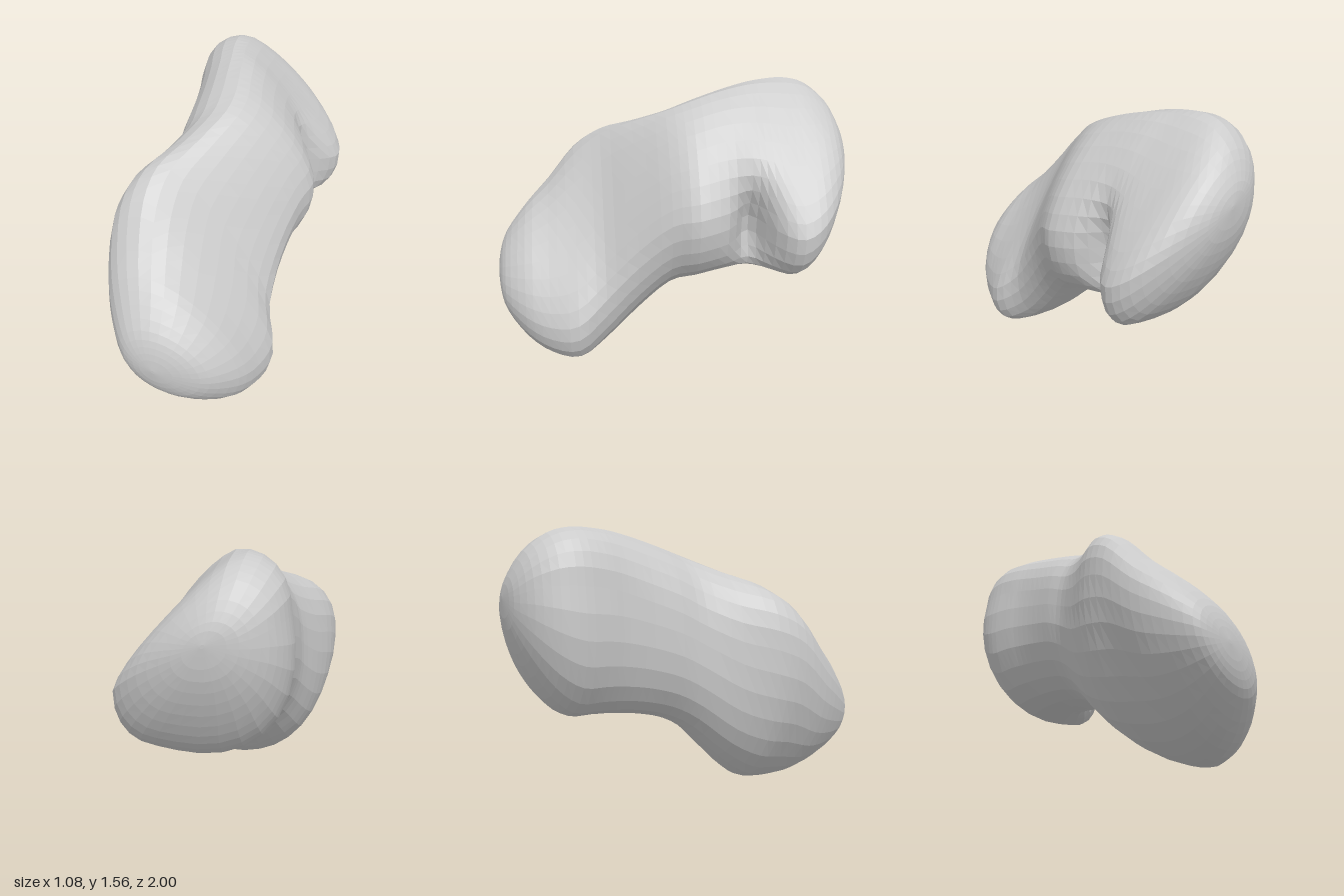
import * as THREE from 'three';

// Cross-sections front to back: z, xMin, xMax, yMin, yMax, tilt, hollow of inner side, swell of outer side
const STATIONS = [
  [1.0, -0.21, -0.19, 0.41, 0.43, -0.3, 0, 0],
  [0.985, -0.31, -0.05, 0.30, 0.53, -0.3, 0, 0],
  [0.94, -0.39, 0.08, 0.20, 0.64, -0.35, 0.02, 0.01],
  [0.82, -0.47, 0.21, 0.08, 0.79, -0.45, 0.04, 0.02],
  [0.68, -0.525, 0.29, 0.01, 0.93, -0.55, 0.08, 0.05],
  [0.52, -0.545, 0.34, 0.0, 1.12, -0.6, 0.13, 0.08],
  [0.36, -0.52, 0.285, 0.075, 1.24, -0.45, 0.13, 0.1],
  [0.18, -0.44, 0.31, 0.24, 1.32, -0.22, 0.12, 0.12],
  [0.0, -0.365, 0.38, 0.42, 1.40, -0.1, 0.11, 0.12],
  [-0.14, -0.345, 0.44, 0.49, 1.455, -0.16, 0.1, 0.12],
  [-0.3, -0.325, 0.42, 0.53, 1.505, -0.23, 0.1, 0.14],
  [-0.44, -0.32, 0.44, 0.55, 1.54, -0.32, 0.12, 0.18],
  [-0.55, -0.33, 0.48, 0.555, 1.555, -0.4, 0.14, 0.21],
  [-0.68, -0.335, 0.54, 0.56, 1.56, -0.47, 0.16, 0.24],
  [-0.8, -0.315, 0.50, 0.66, 1.53, -0.45, 0.15, 0.22],
  [-0.91, -0.25, 0.36, 0.84, 1.44, -0.38, 0.1, 0.16],
  [-0.98, -0.13, 0.18, 1.03, 1.31, -0.3, 0.05, 0.08],
  [-1.0, 0.02, 0.04, 1.19, 1.21, -0.3, 0, 0],
];
const SIDES = 30;
const STEPS = 3;

// Catmull-Rom blend of one parameter between neighbouring stations
function sample(s, k) {
  const last = STATIONS.length - 1;
  const i = Math.min(Math.floor(s), last - 1), f = s - i;
  const at = (n) => STATIONS[Math.max(0, Math.min(last, n))][k];
  const [a, b, c, d] = [at(i - 1), at(i), at(i + 1), at(i + 2)];
  return b + 0.5 * f * (c - a + f * (2 * a - 5 * b + 4 * c - d + f * (3 * (b - c) + d - a)));
}

// Tilted oval fitted to its bounds, hollowed on the inner side and swollen on the outer side
function sectionPoint(p, t) {
  const [z, x0, x1, y0, y1, tilt, hollow, swell] = p;
  const u = Math.cos(t - tilt / 2), v = Math.sin(t + tilt / 2);
  const along = (u - v) ** 2 / 2;
  const reach = (1 - Math.sin(tilt)) ** 2 / 2;
  const shift = (u + v > 0 ? hollow : swell) * Math.max(0, 1 - along / reach);
  const x = (x0 + x1) / 2 + ((x1 - x0) / 2) * (u - shift);
  const y = (y0 + y1) / 2 + ((y1 - y0) / 2) * (v - shift);
  // Fold between the side bulge and the rear lobe
  const fold = 0.23 * Math.exp(-(((z + 0.44) / 0.09) ** 2) - ((y - 0.82) / 0.25) ** 2);
  return [x - fold * Math.max(0, u), y, z];
}

function bodyGeometry() {
  const rings = (STATIONS.length - 1) * STEPS;
  const pos = [], index = [];
  for (let i = 0; i <= rings; i++) {
    const p = STATIONS[0].map((_, k) => sample(i / STEPS, k));
    for (let j = 0; j < SIDES; j++) pos.push(...sectionPoint(p, (j / SIDES) * Math.PI * 2));
  }
  for (let i = 0; i < rings; i++) {
    for (let j = 0; j < SIDES; j++) {
      const a = i * SIDES + j, b = i * SIDES + ((j + 1) % SIDES);
      index.push(a, a + SIDES, b, b, a + SIDES, b + SIDES);
    }
  }
  // Close both tips
  const end = rings * SIDES;
  for (let j = 1; j < SIDES - 1; j++) {
    index.push(0, j, j + 1);
    index.push(end, end + j + 1, end + j);
  }
  const geo = new THREE.BufferGeometry();
  geo.setAttribute('position', new THREE.Float32BufferAttribute(pos, 3));
  geo.setIndex(index);
  geo.computeVertexNormals();
  return geo;
}

export function createModel() {
  const group = new THREE.Group();
  group.name = 'organicBlob';
  const body = new THREE.Mesh(
    bodyGeometry(),
    new THREE.MeshStandardMaterial({ color: 0xcccccc, flatShading: true })
  );
  body.name = 'body';
  group.add(body);
  return group;
}
